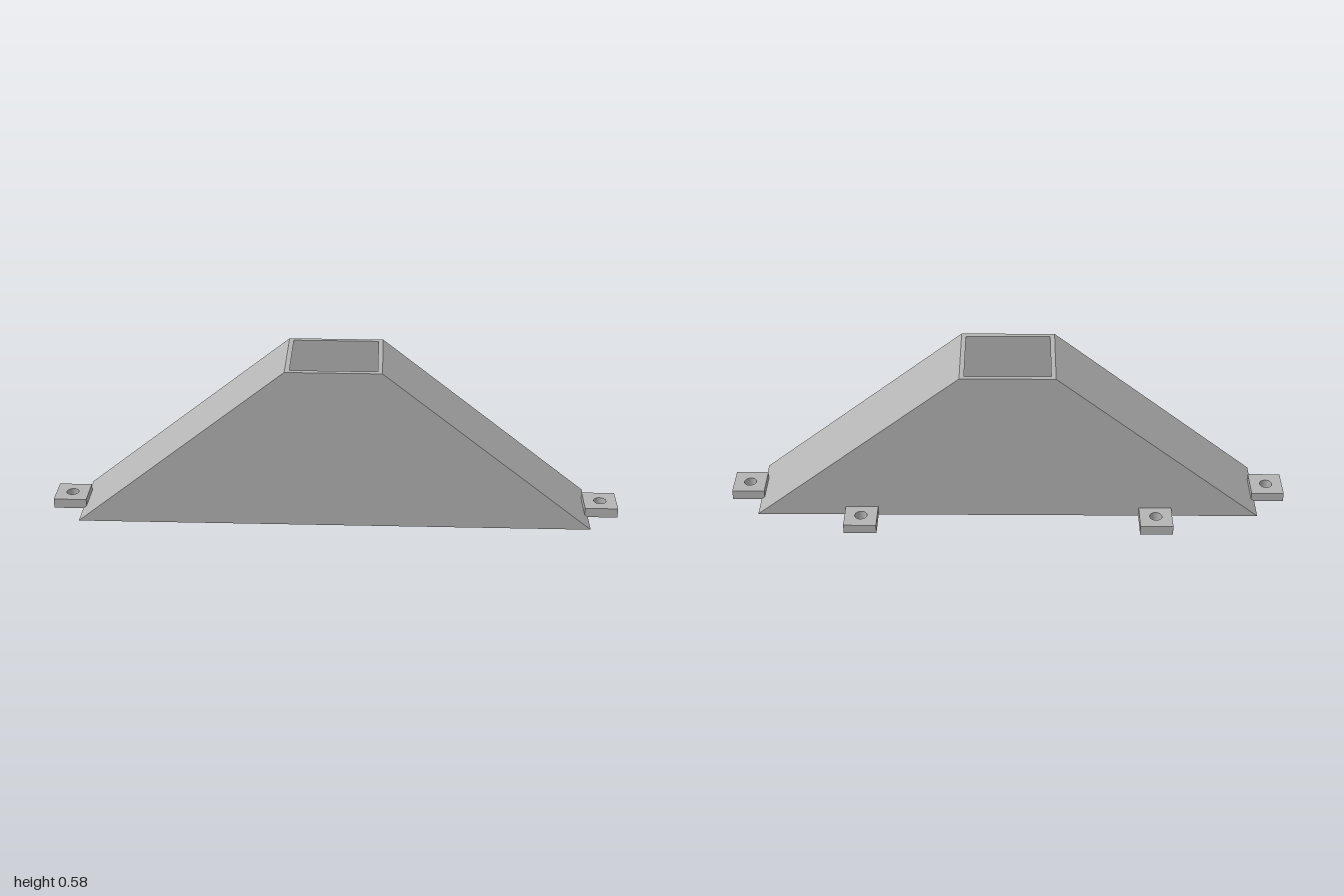
import * as THREE from 'three';

const HEIGHT = 0.582;
const TAB = 0.116, TAB_HEIGHT = 0.035, HOLE_RADIUS = 0.022;

// Rectangular ring of corners at height y
const ring = (halfX, zBack, zFront, y) => [
  [-halfX, y, zFront], [halfX, y, zFront], [halfX, y, zBack], [-halfX, y, zBack],
];

// Hollow tapering duct: outer wall, top rim, inner wall, bottom rim
function ductGeometry() {
  const rings = [
    ring(0.896, -0.093, 0.2, 0),
    ring(0.164, -0.093, 0.2, HEIGHT),
    ring(0.148, -0.077, 0.182, HEIGHT),
    ring(0.874, -0.077, 0.182, 0),
  ];
  const positions = [];
  rings.forEach((lower, i) => {
    const upper = rings[(i + 1) % rings.length];
    for (let a = 0; a < 4; a++) {
      const b = (a + 1) % 4;
      positions.push(...lower[a], ...lower[b], ...upper[b], ...lower[a], ...upper[b], ...upper[a]);
    }
  });
  const geometry = new THREE.BufferGeometry();
  geometry.setAttribute('position', new THREE.Float32BufferAttribute(positions, 3));
  geometry.computeVertexNormals();
  return geometry;
}

// Square mounting tab with a round screw hole
function tabGeometry() {
  const h = TAB / 2;
  const shape = new THREE.Shape([
    new THREE.Vector2(-h, -h), new THREE.Vector2(h, -h),
    new THREE.Vector2(h, h), new THREE.Vector2(-h, h),
  ]);
  shape.holes.push(new THREE.Path().absarc(0, 0, HOLE_RADIUS, 0, Math.PI * 2, true));
  return new THREE.ExtrudeGeometry(shape, { depth: TAB_HEIGHT, bevelEnabled: false, curveSegments: 16 })
    .rotateX(-Math.PI / 2);
}

export function createModel() {
  const model = new THREE.Group();
  model.name = 'ductAdapter';
  const greyPlastic = new THREE.MeshStandardMaterial({ color: 0xb4b4b4 });
  greyPlastic.name = 'greyPlastic';

  const duct = new THREE.Mesh(ductGeometry(), greyPlastic);
  duct.name = 'taperedDuct';
  model.add(duct);

  // Two tabs at the ends and two along the back
  const tab = tabGeometry();
  const tabs = [
    ['leftEndTab', 0.942, 0.053], ['rightEndTab', -0.942, 0.053],
    ['leftBackTab', 0.521, -0.142], ['rightBackTab', -0.527, -0.142],
  ];
  for (const [name, x, z] of tabs) {
    const mesh = new THREE.Mesh(tab, greyPlastic);
    mesh.name = name;
    mesh.position.set(x, 0, z);
    model.add(mesh);
  }
  return model;
}
